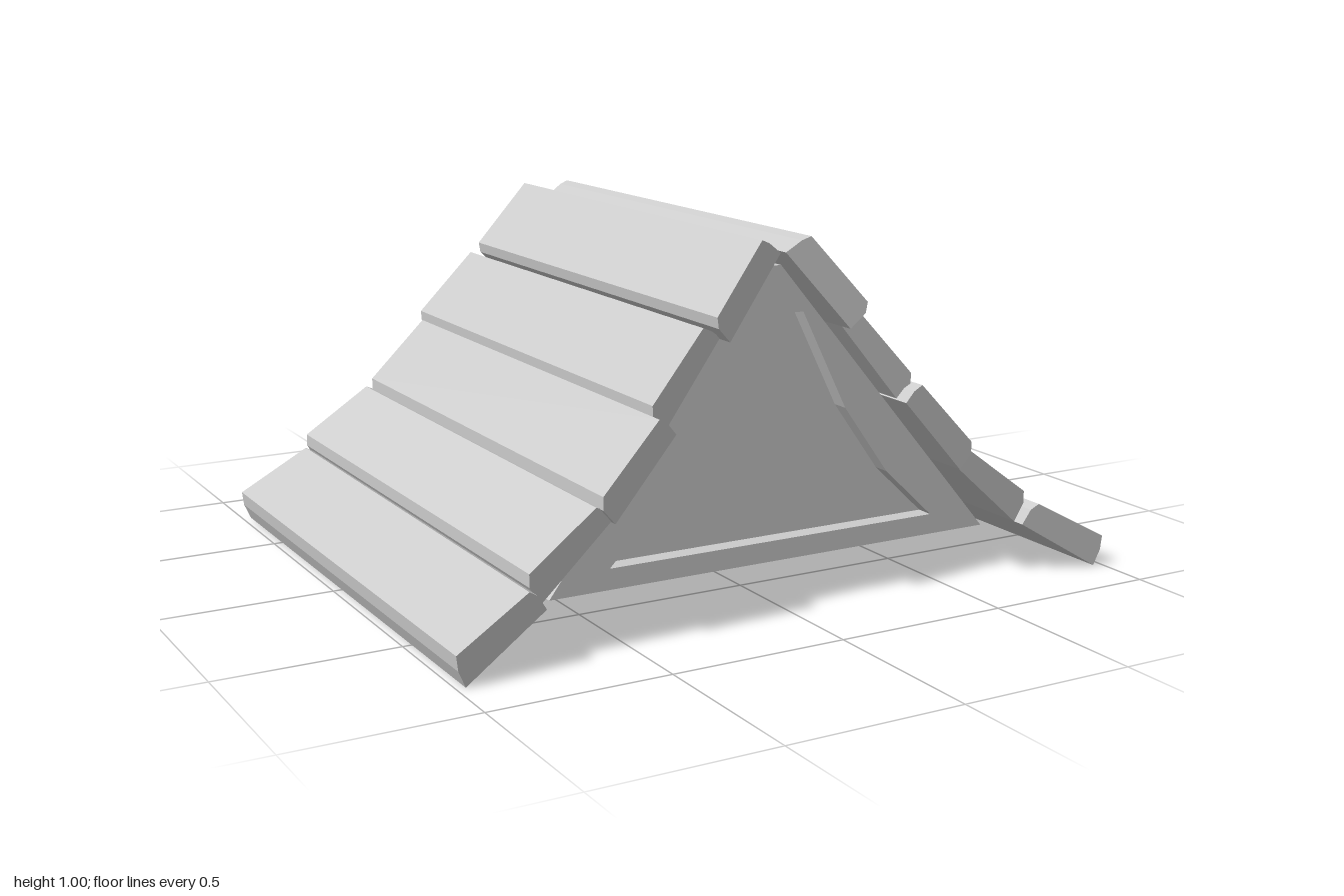
import * as THREE from 'three';

const material = new THREE.MeshStandardMaterial({ color: 0xcccccc, side: THREE.DoubleSide });
const vectors = (points) => points.map(([x, y]) => new THREE.Vector2(x, y));
const mirrored = (points) => [...points, ...points.map(([x, y]) => [-x, y]).reverse()];

// Plank cross-sections from eave to ridge; z = [front inner, front outer, back inner, back outer]
const PLANKS = [
  { profile: [[0.74, 0.15], [0.975, 0.005], [0.995, 0.05], [1.0, 0.09], [0.79, 0.205], [0.765, 0.19]], z: [0.8, 0.84, -0.795, -0.795] },
  { profile: [[0.535, 0.335], [0.74, 0.15], [0.77, 0.2], [0.77, 0.235], [0.58, 0.375], [0.555, 0.365]], z: [0.755, 0.765, -0.8, -0.84] },
  { profile: [[0.355, 0.535], [0.535, 0.33], [0.57, 0.37], [0.57, 0.405], [0.405, 0.58], [0.38, 0.565]], z: [0.762, 0.775, -0.75, -0.78] },
  { profile: [[0.185, 0.755], [0.36, 0.535], [0.398, 0.575], [0.4, 0.605], [0.24, 0.785], [0.215, 0.775]], z: [0.69, 0.72, -0.735, -0.78] },
  { profile: [[0.008, 0.96], [0.185, 0.75], [0.225, 0.79], [0.23, 0.82], [0.075, 1.0], [0.05, 0.99]], z: [0.695, 0.75, -0.685, -0.705] },
];

// Extruded plank whose two ends are cut at a slant across its width
function plankGeometry({ profile, z }, side) {
  const shape = new THREE.Shape(vectors(profile.map(([x, y]) => [x * side, y])));
  const geometry = new THREE.ExtrudeGeometry(shape, { depth: 1, bevelEnabled: false });
  const xs = profile.map((p) => p[0]);
  const min = Math.min(...xs);
  const max = Math.max(...xs);
  const pos = geometry.attributes.position;
  for (let i = 0; i < pos.count; i++) {
    const t = (Math.abs(pos.getX(i)) - min) / (max - min);
    const end = pos.getZ(i) > 0.5 ? 0 : 2;
    pos.setZ(i, THREE.MathUtils.lerp(z[end], z[end + 1], t));
  }
  geometry.computeVertexNormals();
  return geometry;
}

// Gable outline and the opening cut into it
const GABLE = mirrored([[0.68, 0.13], [0.04, 0.915]]);
const OPENING = mirrored([[0.505, 0.185], [0.36, 0.325], [0.23, 0.515], [0.145, 0.7], [0.105, 0.787]]);
const RECESS = 0.05;

// Gables lean inwards towards the ridge
const frontZ = (y) => 0.69 - (y - 0.13) * 0.085;
const backZ = (y) => -0.722 + (y - 0.13) * 0.11;

function leaningFace(shape, zAt) {
  const geometry = new THREE.ShapeGeometry(shape);
  const pos = geometry.attributes.position;
  for (let i = 0; i < pos.count; i++) pos.setZ(i, zAt(pos.getY(i)));
  geometry.computeVertexNormals();
  return geometry;
}

// Strip of quads along an outline, joining two depths
function strip(outline, zA, zB, closed) {
  const positions = [];
  const last = closed ? outline.length : outline.length - 1;
  for (let i = 0; i < last; i++) {
    const [ax, ay] = outline[i];
    const [bx, by] = outline[(i + 1) % outline.length];
    const a0 = [ax, ay, zA(ay)], b0 = [bx, by, zA(by)];
    const a1 = [ax, ay, zB(ay)], b1 = [bx, by, zB(by)];
    positions.push(...a0, ...a1, ...b1, ...a0, ...b1, ...b0);
  }
  const geometry = new THREE.BufferGeometry();
  geometry.setAttribute('position', new THREE.Float32BufferAttribute(positions, 3));
  geometry.computeVertexNormals();
  return geometry;
}

export function createModel() {
  const roof = new THREE.Group();
  roof.name = 'plankRoof';
  const add = (parent, name, geometry) => {
    const mesh = new THREE.Mesh(geometry, material);
    mesh.name = name;
    parent.add(mesh);
  };

  // Overlapping planks on both slopes
  for (const side of [1, -1]) {
    const slope = new THREE.Group();
    slope.name = side > 0 ? 'leftSlope' : 'rightSlope';
    PLANKS.forEach((plank, i) => add(slope, `plank${i + 1}`, plankGeometry(plank, side)));
    roof.add(slope);
  }

  // Inner shell, open underneath
  add(roof, 'innerShell', strip(GABLE, backZ, frontZ, false));

  // Gable frames with recessed panels
  for (const [name, zAt, inward] of [['front', frontZ, -1], ['back', backZ, 1]]) {
    const gable = new THREE.Group();
    gable.name = `${name}Gable`;
    const frame = new THREE.Shape(vectors(GABLE));
    frame.holes.push(new THREE.Path(vectors(OPENING)));
    const panelZ = (y) => zAt(y) + inward * RECESS;
    const panel = leaningFace(new THREE.Shape(vectors(OPENING)), panelZ);
    const face = leaningFace(frame, zAt);
    const wall = strip(OPENING, zAt, panelZ, true);
    // Back faces wind the other way round
    if (inward > 0) {
      for (const g of [panel, face]) {
        g.setIndex(Array.from(g.index.array).reverse());
        g.computeVertexNormals();
      }
    }
    add(gable, `${name}Frame`, face);
    add(gable, `${name}Panel`, panel);
    add(gable, `${name}Recess`, wall);
    roof.add(gable);
  }
  return roof;
}
